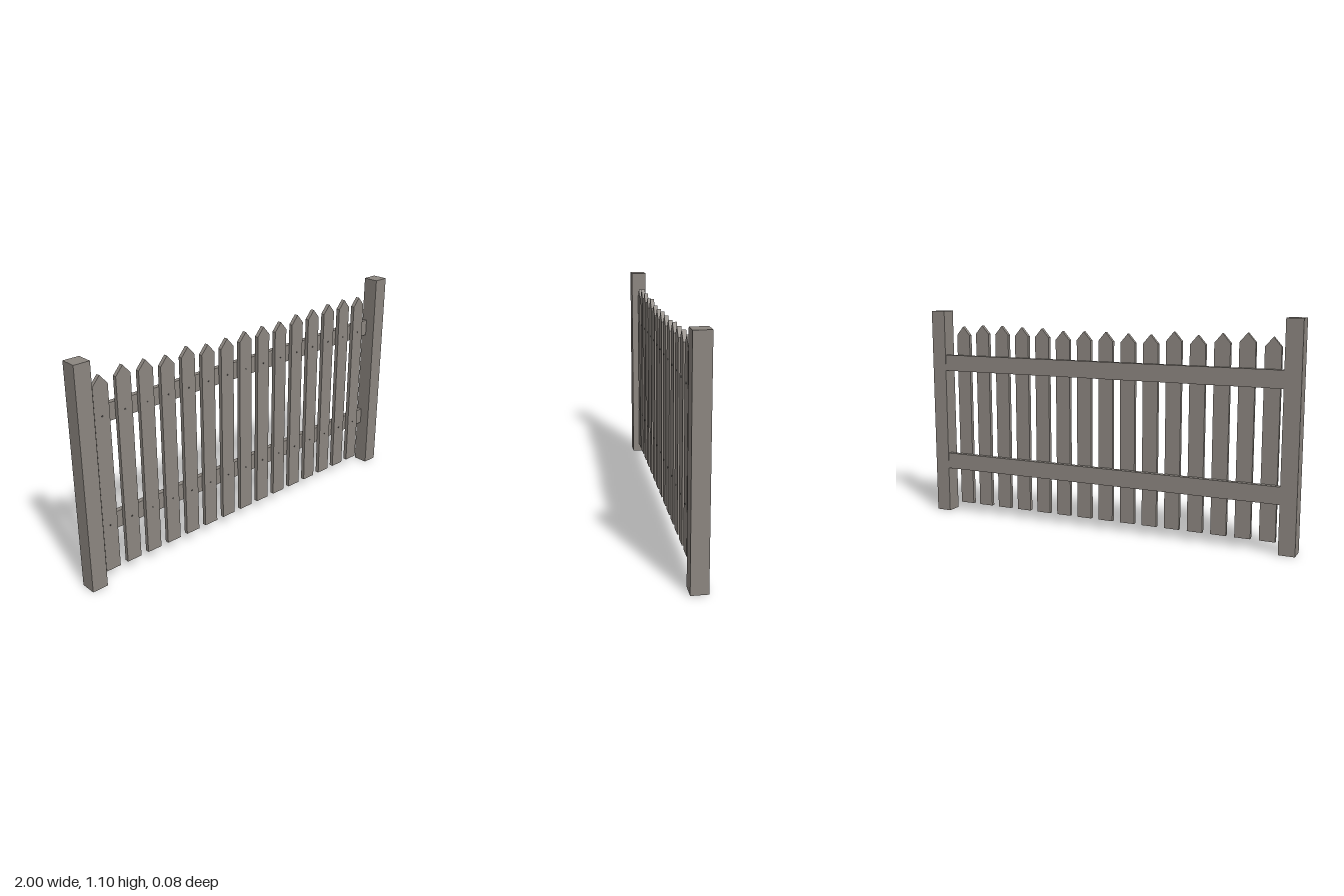
import * as THREE from 'three';

export function createModel() {
  const fence = new THREE.Group();
  fence.name = 'picketFence';
  const wood = new THREE.MeshStandardMaterial({ color: 0x8c8680 });
  wood.name = 'weathered wood';
  const iron = new THREE.MeshStandardMaterial({ color: 0x5a5855 });
  iron.name = 'nail iron';

  const add = (name, geometry, material, x, y, z) => {
    const mesh = new THREE.Mesh(geometry, material);
    mesh.name = name;
    mesh.position.set(x, y, z);
    fence.add(mesh);
    return mesh;
  };

  // End posts
  const postGeometry = new THREE.BoxGeometry(0.08, 1.1, 0.08);
  add('leftPost', postGeometry, wood, 0.96, 0.55, 0);
  add('rightPost', postGeometry, wood, -0.96, 0.55, 0);

  // Horizontal rails behind the pickets
  const railHeights = [0.283, 0.823];
  const railGeometry = new THREE.BoxGeometry(1.84, 0.085, 0.025);
  railHeights.forEach((y, i) => add(i ? 'upperRail' : 'lowerRail', railGeometry, wood, 0, y, -0.025));

  // Pointed pickets of slightly uneven height
  const bottom = 0.05, back = -0.0125, thickness = 0.02, half = 0.039;
  const tips = [1.012, 1.028, 1.022, 1.01, 1.023, 1.006, 1.007, 1.012,
    1.012, 1.01, 1.021, 1.023, 1.027, 1.028, 1.018];
  const nailGeometry = new THREE.CylinderGeometry(0.004, 0.004, 0.006, 6).rotateX(Math.PI / 2);
  tips.forEach((tip, i) => {
    const x = -0.86 + i * 0.12;
    const height = tip - bottom;
    const outline = new THREE.Shape([
      new THREE.Vector2(-half, 0),
      new THREE.Vector2(half, 0),
      new THREE.Vector2(half, height - 0.045),
      new THREE.Vector2(0, height),
      new THREE.Vector2(-half, height - 0.045),
    ]);
    const board = new THREE.ExtrudeGeometry(outline, { depth: thickness, bevelEnabled: false });
    add('picket', board, wood, x, bottom, back);

    // One nail at each rail
    railHeights.forEach((y) => add('nail', nailGeometry, iron, x, y, back + thickness));
  });

  return fence;
}
